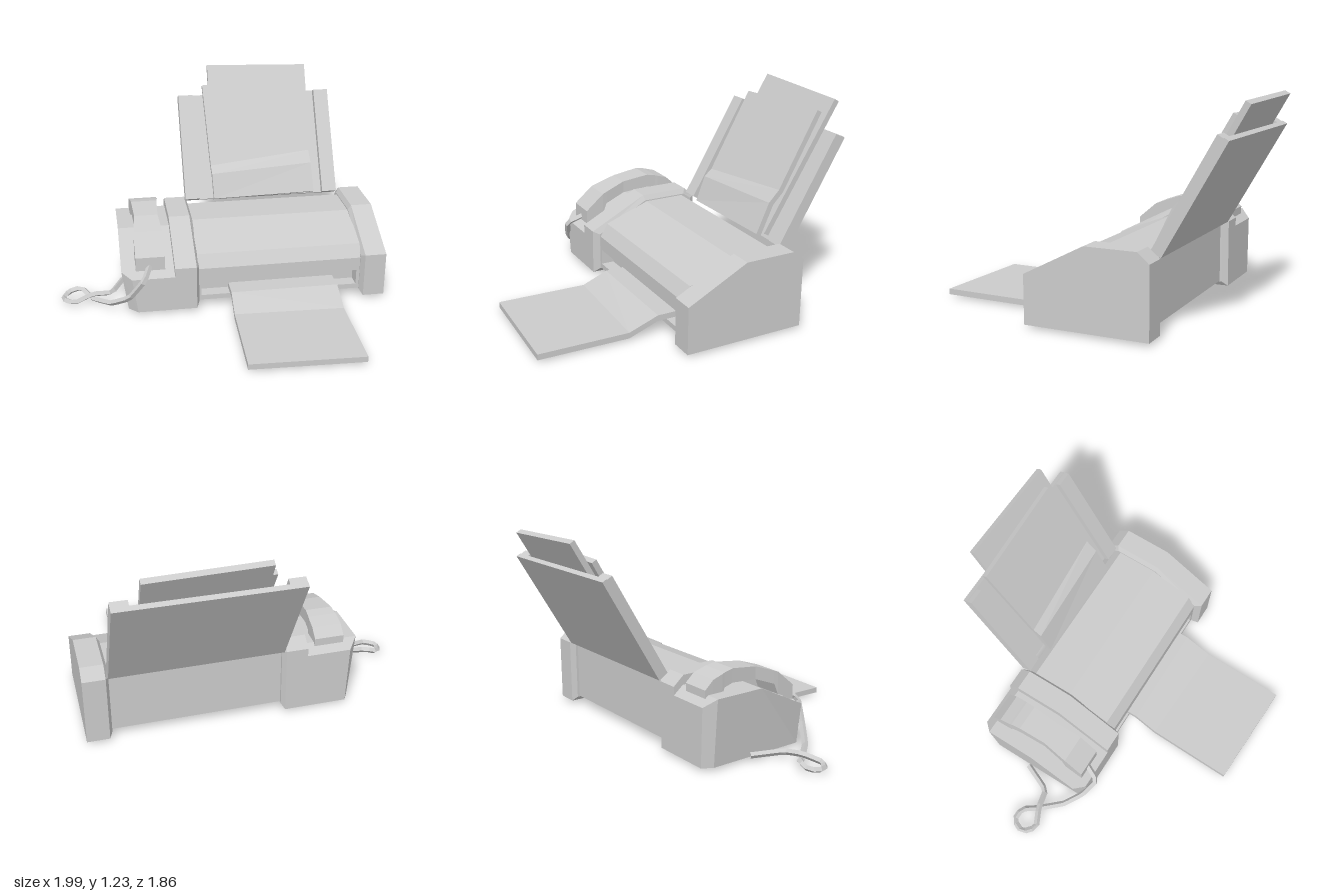
import * as THREE from 'three';

const material = new THREE.MeshStandardMaterial({ color: 0xcccccc, flatShading: true });

function add(parent, name, geometry) {
  const mesh = new THREE.Mesh(geometry, material);
  mesh.name = name;
  parent.add(mesh);
  return mesh;
}

// Box from min and max corners
function box(parent, name, [x0, y0, z0], [x1, y1, z1]) {
  const g = new THREE.BoxGeometry(x1 - x0, y1 - y0, z1 - z0);
  g.translate((x0 + x1) / 2, (y0 + y1) / 2, (z0 + z1) / 2);
  return add(parent, name, g);
}

// Closed solid through rings of equal point count, wound outward by its signed volume
function loft(rings) {
  const n = rings[0].length, tris = [];
  for (let r = 0; r + 1 < rings.length; r++) {
    for (let i = 0; i < n; i++) {
      const a = rings[r][i], b = rings[r][(i + 1) % n];
      const c = rings[r + 1][(i + 1) % n], d = rings[r + 1][i];
      tris.push([a, b, c], [a, c, d]);
    }
  }
  const first = rings[0], last = rings[rings.length - 1];
  for (let i = 1; i + 1 < n; i++) {
    tris.push([first[0], first[i + 1], first[i]], [last[0], last[i], last[i + 1]]);
  }
  let volume = 0;
  for (const t of tris) {
    const [a, b, c] = t.map((p) => new THREE.Vector3(...p));
    volume += a.dot(b.cross(c));
  }
  if (volume < 0) tris.forEach((t) => t.reverse());
  const g = new THREE.BufferGeometry();
  g.setAttribute('position', new THREE.Float32BufferAttribute(tris.flat(2), 3));
  g.computeVertexNormals();
  return g;
}

// Side profile of [z, y] points placed at x
const at = (x, profile) => profile.map(([z, y]) => [x, y, z]);

// Sheet through rows of left and right [x, y, z], thickened along an offset
function sheet(rows, [dy, dz]) {
  return loft(rows.map(([l, r]) => [l, r, [r[0], r[1] + dy, r[2] + dz], [l[0], l[1] + dy, l[2] + dz]]));
}

export function createModel() {
  const model = new THREE.Group();
  model.name = 'faxMachine';

  // Main body with a recessed paper slot along the front
  const body = new THREE.Group();
  body.name = 'body';
  model.add(body);
  const upper = [[0.17, 0.175], [0.17, 0.26], [0.12, 0.335], [-0.155, 0.44], [-0.41, 0.44], [-0.46, 0.40], [-0.46, 0.175]];
  add(body, 'bodyTop', loft([at(-0.16, upper), at(0.855, upper)]));
  box(body, 'bodyBottom', [-0.16, 0.05, -0.46], [0.855, 0.08, 0.17]);
  box(body, 'slotBack', [-0.16, 0.08, -0.46], [0.855, 0.175, 0.09]);
  box(body, 'slotEnd', [-0.16, 0.08, 0.09], [-0.14, 0.175, 0.17]);
  box(body, 'slotEnd', [0.83, 0.08, 0.09], [0.855, 0.175, 0.17]);

  // End housings with a bevel toward the body
  const cap = [[0.215, 0.02], [0.215, 0.295], [-0.14, 0.477], [-0.44, 0.477], [-0.507, 0.42], [-0.507, 0.02]];
  const inner = [[0.175, 0.045], [0.175, 0.275], [-0.145, 0.447], [-0.425, 0.447], [-0.475, 0.41], [-0.475, 0.045]];
  add(model, 'leftHousing', loft([at(0.85, inner), at(0.868, cap), at(1, cap)]));
  add(model, 'rightHousing', loft([at(-0.155, inner), at(-0.173, cap), at(-0.303, cap)]));

  // Handset cradle: z, outer x at bottom, outer x at top, top height
  const cradle = [
    [0.215, -0.53, -0.56, 0.24], [0.16, -0.585, -0.62, 0.27], [-0.14, -0.585, -0.62, 0.42],
    [-0.445, -0.585, -0.62, 0.42], [-0.507, -0.55, -0.565, 0.37],
  ];
  add(model, 'handsetCradle', loft(cradle.map(([z, xb, xt, y]) => [
    [-0.3, 0.02, z], [xb, 0.02, z], [xt, y, z], [-0.3, y, z],
  ])));

  // Arched handset: z, half width, underside, top
  const handset = [
    [0.17, 0.088, 0.275, 0.36], [0.055, 0.088, 0.325, 0.458], [0.03, 0.086, 0.39, 0.468],
    [-0.1, 0.072, 0.44, 0.515], [-0.27, 0.08, 0.455, 0.537], [-0.33, 0.084, 0.44, 0.525],
    [-0.345, 0.086, 0.40, 0.52], [-0.41, 0.088, 0.40, 0.5], [-0.465, 0.088, 0.40, 0.45],
  ];
  add(model, 'handset', loft(handset.map(([z, w, y0, y1]) => [
    [-0.446 - w, y0, z], [-0.446 + w, y0, z], [-0.446 + w, y1, z], [-0.446 - w, y1, z],
  ])));

  // Looped cord from handset to cradle
  const path = [
    [-0.45, 0.3, 0.16], [-0.49, 0.25, 0.25], [-0.58, 0.12, 0.21], [-0.69, 0.05, 0.13], [-0.8, 0.02, 0],
    [-0.865, 0.06, -0.075], [-0.945, 0.035, -0.08], [-0.98, 0.03, 0], [-0.91, 0.03, 0.06],
    [-0.8, 0.055, 0.01], [-0.68, 0.04, -0.02], [-0.6, 0.035, -0.2],
  ].map((p) => new THREE.Vector3(...p));
  const cord = new THREE.CatmullRomCurve3(path, false, 'catmullrom', 0.1);
  add(model, 'cord', new THREE.TubeGeometry(cord, 33, 0.018, 4, false));

  // Printed page leaving the slot
  add(model, 'outputPage', sheet([
    [[0.035, 0.115, 0.1], [0.695, 0.115, 0.1]],
    [[0.035, 0.115, 0.225], [0.695, 0.115, 0.225]],
    [[0.03, 0.05, 0.375], [0.692, 0.05, 0.4]],
    [[0.015, 0.05, 0.905], [0.68, 0.05, 0.93]],
  ], [-0.034, 0]));

  // Paper tray leaning back, with raised side rails
  const tray = new THREE.Group();
  tray.name = 'paperTray';
  tray.position.set(0, 0.42, -0.505);
  tray.rotation.x = -Math.PI / 6;
  model.add(tray);
  box(tray, 'trayPanel', [-0.16, 0, 0], [0.855, 0.7, 0.03]);
  box(tray, 'trayRail', [-0.16, 0, 0.03], [-0.065, 0.695, 0.067]);
  box(tray, 'trayRail', [0.76, 0, 0.03], [0.855, 0.695, 0.067]);

  // Two loaded pages, the front one bowed near the feed
  add(tray, 'rearPage', sheet([
    [[0.035, 0.02, 0.065], [0.695, 0.02, 0.065]],
    [[0.048, 0.895, 0.065], [0.712, 0.875, 0.065]],
  ], [0, -0.034]));
  add(tray, 'frontPage', sheet([
    [[0.025, -0.01, 0.099], [0.69, 0.0, 0.11]],
    [[0.02, 0.15, 0.122], [0.683, 0.19, 0.125]],
    [[0.018, 0.21, 0.1], [0.68, 0.28, 0.1]],
    [[0, 0.75, 0.1], [0.664, 0.78, 0.1]],
  ], [0, -0.034]));

  return model;
}
